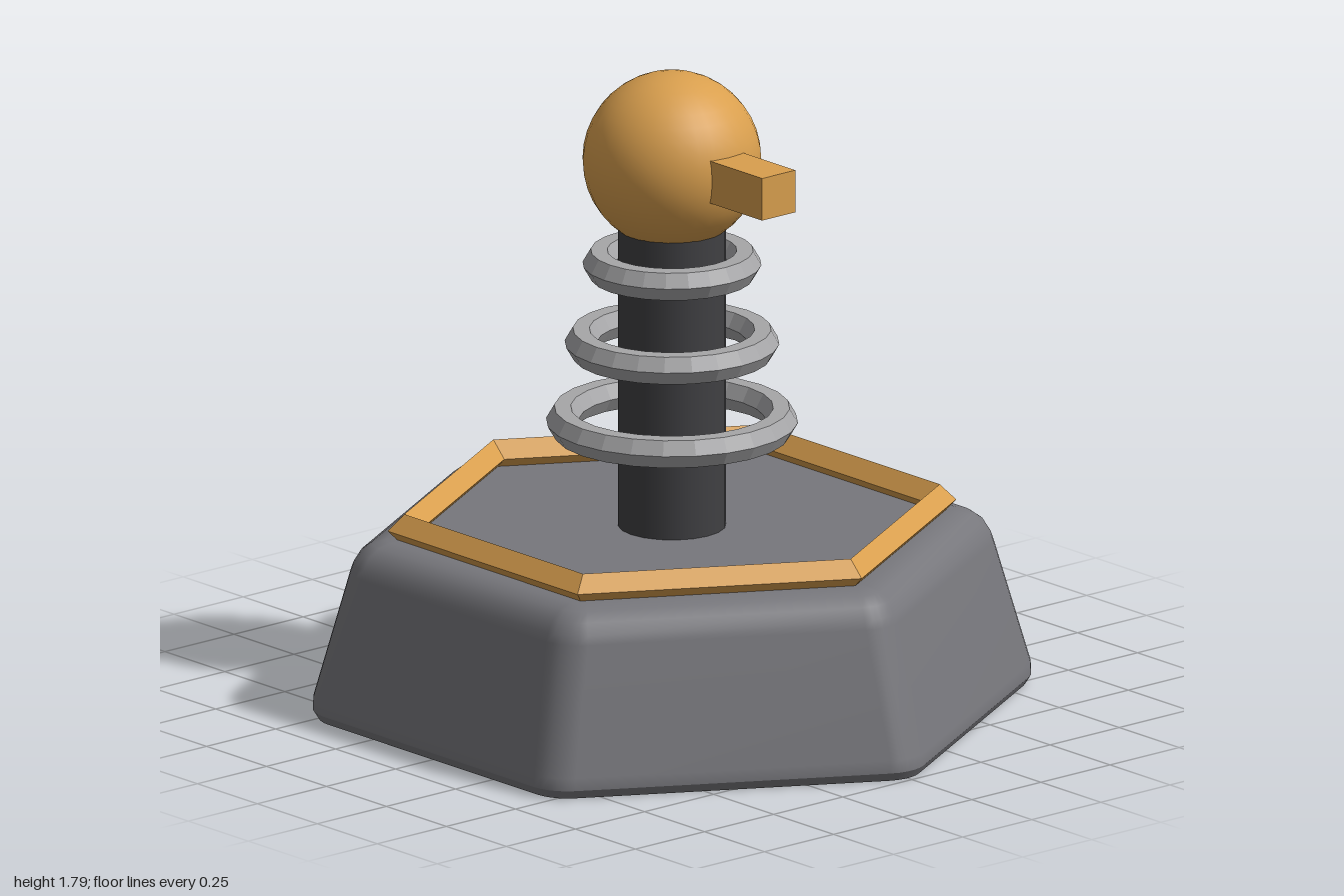
import * as THREE from 'three';

const baseGrey = new THREE.MeshStandardMaterial({ color: 0x77777c });
const darkGrey = new THREE.MeshStandardMaterial({ color: 0x404043 });
const ringGrey = new THREE.MeshStandardMaterial({ color: 0xa6a6a8, flatShading: true });
const gold = new THREE.MeshStandardMaterial({ color: 0xd99f4e });
const flatGold = gold.clone();
flatGold.flatShading = true;

// Outline of a hexagon with rounded corners, corners on the x axis
function hexRing(apothem, radius, y, steps = 5) {
  const points = [];
  const reach = (apothem - radius) / Math.cos(Math.PI / 6);
  for (let c = 0; c < 6; c++) {
    const a = c * Math.PI / 3;
    for (let s = 0; s <= steps; s++) {
      const b = a + (s / steps - 0.5) * Math.PI / 3;
      points.push([reach * Math.cos(a) + radius * Math.cos(b), y, reach * Math.sin(a) + radius * Math.sin(b)]);
    }
  }
  return points;
}

// Skin between stacked outlines, with smooth normals
function loft(rings) {
  const n = rings[0].length, index = [];
  for (let r = 0; r < rings.length - 1; r++) {
    for (let i = 0; i < n; i++) {
      const a = r * n + i, b = r * n + (i + 1) % n;
      index.push(a, a + n, b, b, a + n, b + n);
    }
  }
  const geometry = new THREE.BufferGeometry();
  geometry.setAttribute('position', new THREE.Float32BufferAttribute(rings.flat(2), 3));
  geometry.setIndex(index);
  geometry.computeVertexNormals();
  return geometry;
}

export function createModel() {
  const model = new THREE.Group();
  const add = (name, geometry, material, x = 0, y = 0, parent = model) => {
    const mesh = new THREE.Mesh(geometry, material);
    mesh.name = name;
    mesh.position.set(x, y, 0);
    parent.add(mesh);
    return mesh;
  };

  // Tapered hexagonal base: [apothem, corner radius, height]
  const base = new THREE.Group();
  base.name = 'base';
  model.add(base);
  const section = (list) => loft(list.map(([a, r, y]) => hexRing(a, r, y)));
  add('baseSides', section([
    [0.88, 0.12, 0.025], [0.879, 0.12, 0.06], [0.79, 0.12, 0.41], [0.782, 0.115, 0.435],
    [0.763, 0.1, 0.467], [0.733, 0.08, 0.49], [0.695, 0.05, 0.5], [0.66, 0.04, 0.5],
  ]), baseGrey, 0, 0, base);
  add('baseTop', section([[0.66, 0.04, 0.5], [0.002, 0.001, 0.5]]), baseGrey, 0, 0, base);
  add('baseFoot', section([[0.865, 0.11, 0], [0.88, 0.12, 0.025]]), baseGrey, 0, 0, base);
  add('baseUnderside', section([[0.002, 0.001, 0], [0.865, 0.11, 0]]), baseGrey, 0, 0, base);

  // Hexagonal trim with a diamond section
  add('trim', new THREE.TorusGeometry(0.745, 0.046, 4, 6).rotateX(-Math.PI / 2), flatGold, 0, 0.526);

  // Post
  add('post', new THREE.CylinderGeometry(0.148, 0.148, 0.95, 20), darkGrey, 0, 0.965);

  // Floating coils, shrinking upwards
  [[0.3, 0.797], [0.249, 1.02], [0.2, 1.245]].forEach(([radius, y], i) => {
    add('coil' + (i + 1), new THREE.TorusGeometry(radius, 0.045, 6, 24).rotateX(-Math.PI / 2), ringGrey, 0, y);
  });

  // Ball and the bar on its left side
  add('ball', new THREE.SphereGeometry(0.245, 32, 20), gold, 0, 1.543);
  add('bar', new THREE.BoxGeometry(0.245, 0.12, 0.12), flatGold, 0.3225, 1.541);

  return model;
}
